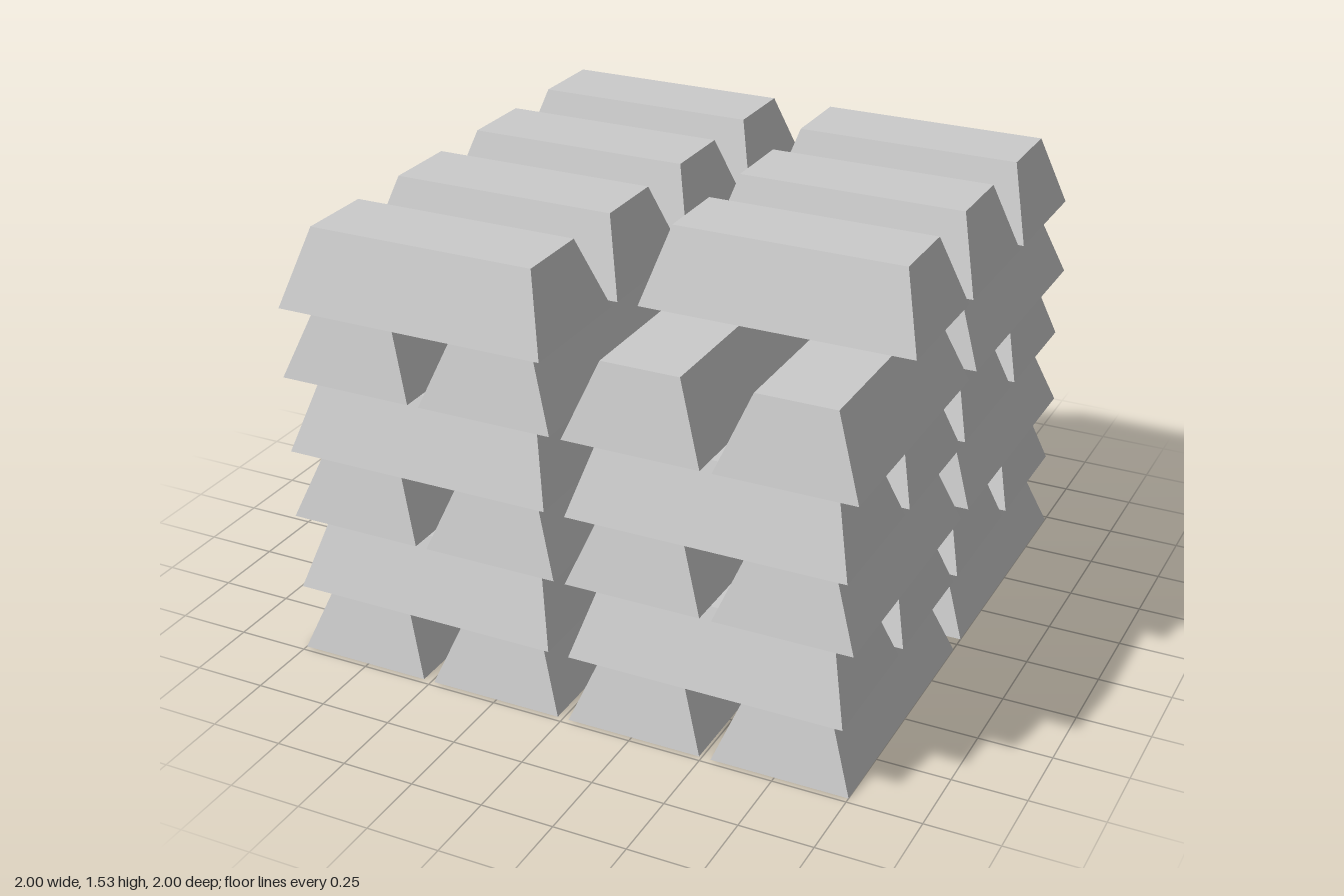
import * as THREE from 'three';

const HEIGHT = 0.255;
const LENGTH = 0.944, TOP_LENGTH = 0.794;
const WIDTH = 0.47, TOP_WIDTH = 0.27;

// Tapered bar lying along x, standing on y = 0
function ingotGeometry() {
  const geometry = new THREE.BoxGeometry(LENGTH, HEIGHT, WIDTH);
  const pos = geometry.attributes.position;
  for (let i = 0; i < pos.count; i++) {
    if (pos.getY(i) > 0) {
      pos.setX(i, Math.sign(pos.getX(i)) * TOP_LENGTH / 2);
      pos.setZ(i, Math.sign(pos.getZ(i)) * TOP_WIDTH / 2);
    }
  }
  geometry.translate(0, HEIGHT / 2, 0);
  geometry.computeVertexNormals();
  return geometry;
}

export function createModel() {
  const stack = new THREE.Group();
  stack.name = 'ingotStack';
  const geometry = ingotGeometry();
  const material = new THREE.MeshStandardMaterial({ color: 0xcccccc, flatShading: true });

  const layers = 6;
  const across = [-0.765, -0.255, 0.255, 0.765];
  const along = [-0.508, 0.508];

  // Layers alternate direction: even ones run along z, odd ones along x
  for (let layer = 0; layer < layers; layer++) {
    const group = new THREE.Group();
    group.name = `layer${layer + 1}`;
    group.position.y = layer * HEIGHT;
    const alongZ = layer % 2 === 0;
    for (const a of along) {
      for (const c of across) {
        // One bar is absent from the front left corner of the top layer
        if (layer === layers - 1 && a > 0 && c === across[3]) continue;
        const ingot = new THREE.Mesh(geometry, material);
        ingot.name = 'ingot';
        if (alongZ) {
          ingot.rotation.y = Math.PI / 2;
          ingot.position.set(c, 0, a);
        } else {
          ingot.position.set(a, 0, c);
        }
        group.add(ingot);
      }
    }
    stack.add(group);
  }
  return stack;
}
